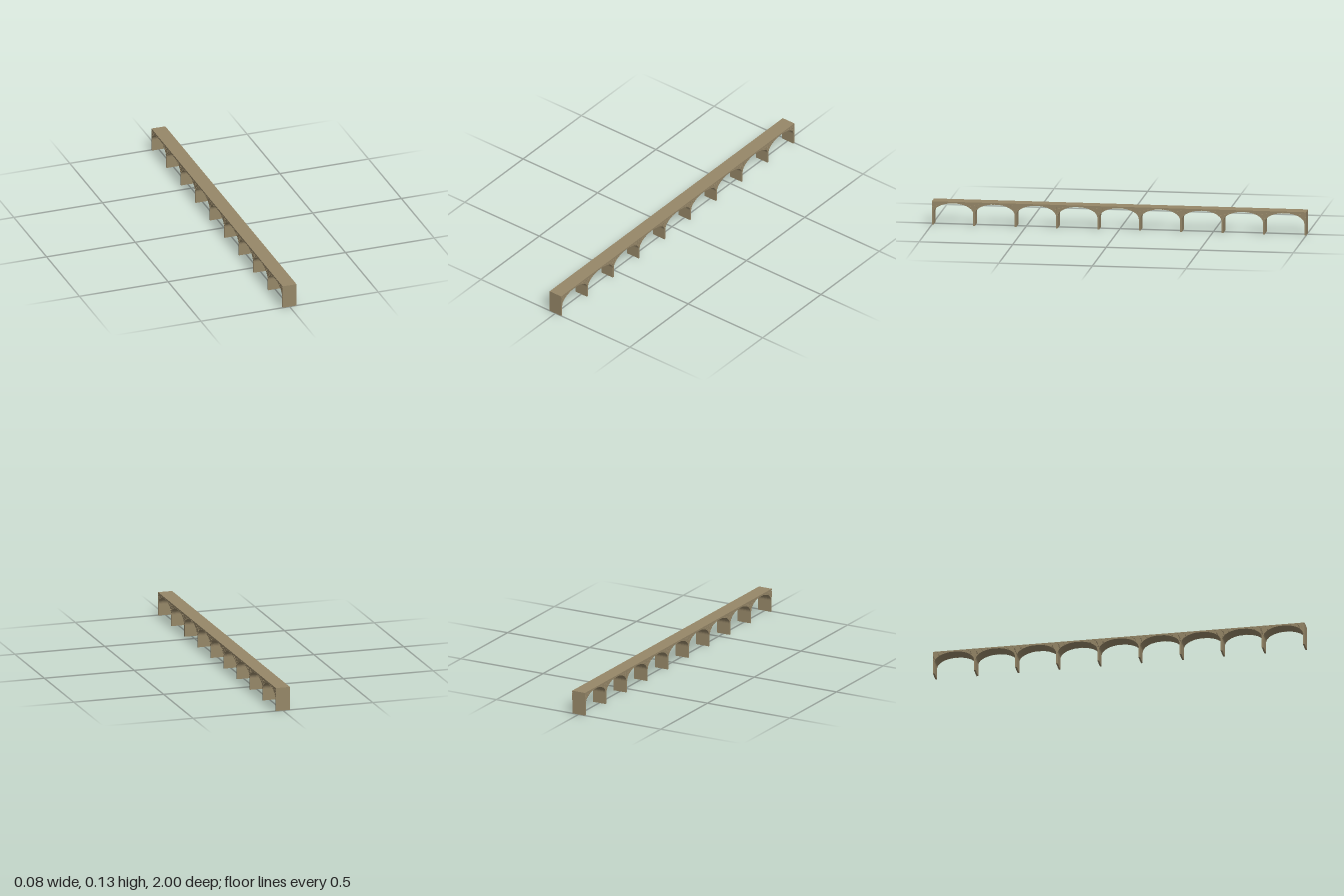
import * as THREE from 'three';
import { mergeGeometries } from 'three/addons/utils/BufferGeometryUtils.js';

const SPANS = 9, PIER = 0.009, HALF = 0.0385;
const PITCH = (2 - PIER) / SPANS;
const SPRING = 0.063, RISE = 0.055, A = (PITCH - PIER) / 2;
const DECK = 0.119, TOP = 0.126, RING = 0.003;
const material = new THREE.MeshStandardMaterial({ color: 0x968768, flatShading: true });

// Seeded jitter for the rough masonry
let seed = 7;
const rand = () => (seed = (seed * 16807) % 2147483647) / 2147483647;

const pierZ = (i) => -1 + PIER / 2 + i * PITCH;

function add(group, name, geometry) {
  const mesh = new THREE.Mesh(geometry, material);
  mesh.name = name;
  group.add(mesh);
}

// Wall with all the arched openings, drawn in (z, y) and extruded across x
function archWall() {
  const shape = new THREE.Shape();
  shape.moveTo(-1, SPRING);
  for (let i = 0; i < SPANS; i++) {
    const mid = pierZ(i) + PITCH / 2;
    for (let k = 0; k <= 28; k++) {
      const t = Math.PI * (1 - k / 28);
      shape.lineTo(mid + A * Math.cos(t), SPRING + RISE * Math.sin(t));
    }
  }
  shape.lineTo(1, SPRING);
  shape.lineTo(1, DECK);
  shape.lineTo(-1, DECK);
  const g = new THREE.ExtrudeGeometry(shape, { depth: 2 * HALF, bevelEnabled: false });
  return g.translate(0, 0, -HALF).rotateY(-Math.PI / 2);
}

// Courses of small blocks on both faces of the spandrels
function spandrelStones() {
  const stones = [];
  const rowH = 0.006;
  for (let i = 0; i <= SPANS; i++) {
    for (const side of [-1, 1]) {
      for (let y = SPRING + 0.004; y + rowH <= DECK; y += rowH) {
        const s = (y - SPRING) / RISE;
        const w = PIER / 2 + A * (1 - Math.sqrt(1 - s * s)) - RING;
        const z0 = Math.max(-1, pierZ(i) - w), z1 = Math.min(1, pierZ(i) + w);
        const n = Math.max(1, Math.round((z1 - z0) / 0.012));
        const len = (z1 - z0) / n;
        for (let k = 0; k < n; k++) {
          const out = 0.0005 + rand() * 0.001;
          stones.push(new THREE.BoxGeometry(out * 2, rowH - 0.0008, Math.max(len - 0.001, 0.001))
            .translate(side * HALF, y + rowH / 2, z0 + (k + 0.5) * len));
        }
      }
    }
  }
  return mergeGeometries(stones);
}

// Wedge stones following each arch
function archRings() {
  const stones = [];
  const count = 22;
  const point = (k) => {
    const t = Math.PI * k / count;
    return new THREE.Vector2(A * Math.cos(t), SPRING + RISE * Math.sin(t));
  };
  for (let i = 0; i < SPANS; i++) {
    const mid = pierZ(i) + PITCH / 2;
    for (let k = 0; k < count; k++) {
      const p = point(k), q = point(k + 1), d = q.clone().sub(p), len = d.length();
      const c = p.clone().add(q).multiplyScalar(0.5);
      // Shift outward from the opening by half the ring thickness
      c.add(new THREE.Vector2(d.y, -d.x).multiplyScalar(RING / 2 / len));
      for (const side of [-1, 1]) {
        stones.push(new THREE.BoxGeometry(0.0016, RING, len * 0.92)
          .rotateX(-Math.atan2(d.y, d.x))
          .translate(side * HALF, Math.min(c.y, DECK - RING / 2 + 0.001), mid + c.x));
      }
    }
  }
  return mergeGeometries(stones);
}

export function createModel() {
  const bridge = new THREE.Group();
  bridge.name = 'archBridge';

  // Deck slab
  add(bridge, 'deck', new THREE.BoxGeometry(0.078, TOP - DECK, 2).translate(0, (TOP + DECK) / 2, 0));

  add(bridge, 'archWall', archWall());
  add(bridge, 'spandrelStones', spandrelStones());
  add(bridge, 'archRings', archRings());

  // Thin wall piers
  for (let i = 0; i <= SPANS; i++) {
    add(bridge, 'pier' + (i + 1),
      new THREE.BoxGeometry(2 * HALF, SPRING, PIER).translate(0, SPRING / 2, pierZ(i)));
  }
  return bridge;
}
